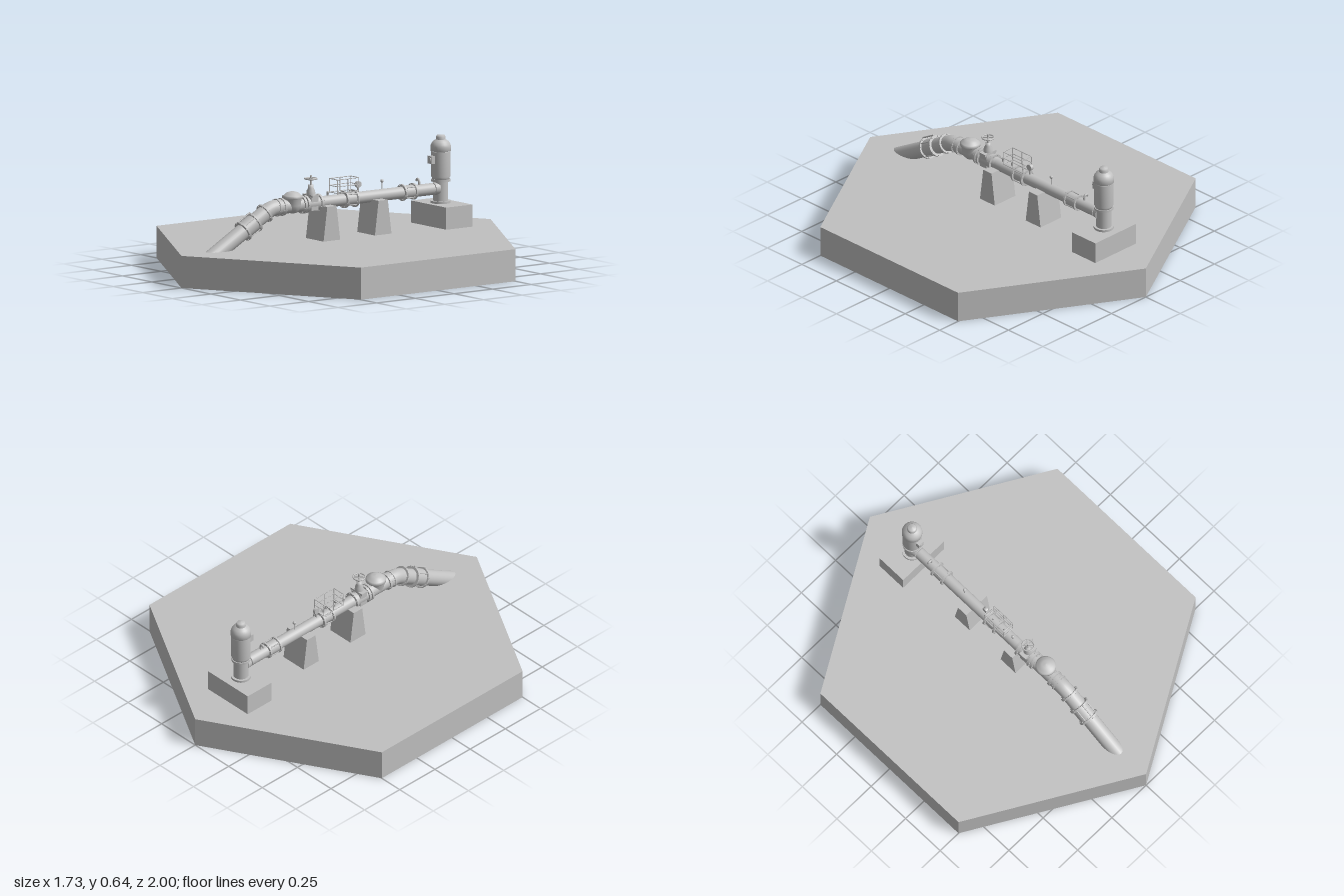
import * as THREE from 'three';

export function createModel() {
  const model = new THREE.Group();
  const concrete = new THREE.MeshStandardMaterial({ color: 0xc0c0c0 });
  concrete.name = 'light grey';
  const PX = -0.01, PY = 0.358; // pipe axis
  const V = (x, y, z) => new THREE.Vector3(x, y, z);

  function add(name, geo, x = 0, y = 0, z = 0, parent = model) {
    const m = new THREE.Mesh(geo, concrete);
    m.name = name;
    m.position.set(x, y, z);
    parent.add(m);
    return m;
  }
  const box = (name, w, h, d, x, y, z, p) => add(name, new THREE.BoxGeometry(w, h, d), x, y, z, p);
  const disc = (name, r, h, x, y, z, p) => add(name, new THREE.CylinderGeometry(r, r, h, 24), x, y, z, p);
  // Round bar between two points, r0 at a and r1 at b
  function rod(name, a, b, r0, r1 = r0, seg = 24, parent = model) {
    const d = b.clone().sub(a);
    const m = add(name, new THREE.CylinderGeometry(r1, r0, d.length(), seg), 0, 0, 0, parent);
    m.position.copy(a).add(b).multiplyScalar(0.5);
    m.quaternion.setFromUnitVectors(V(0, 1, 0), d.normalize());
    return m;
  }
  const lathe = (name, pts, x, y, z, p) =>
    add(name, new THREE.LatheGeometry(pts.map(q => new THREE.Vector2(q[0], q[1])), 28), x, y, z, p);
  const at = z => V(PX, PY, z);
  // Bolted flange with its axis along dir
  function flange(c, dir, r, t = 0.012) {
    const g = new THREE.Group();
    g.name = 'flange';
    disc('flangePlate', r, t, 0, 0, 0, g);
    for (let i = 0; i < 8; i++) {
      const a = (i + 0.5) * Math.PI / 4;
      add('bolt', new THREE.CylinderGeometry(0.003, 0.003, t + 0.008, 6),
        Math.cos(a) * (r - 0.005), 0, Math.sin(a) * (r - 0.005), g);
    }
    g.position.copy(c);
    g.quaternion.setFromUnitVectors(V(0, 1, 0), dir);
    model.add(g);
  }
  // Two flanges tied together by long bolts
  function coupling(a, b, r, core) {
    const d = b.clone().sub(a).normalize();
    flange(a, d, r, 0.01);
    flange(b, d, r, 0.01);
    rod('couplingSleeve', a, b, core);
    const up = V(0, 1, 0).addScaledVector(d, -d.y).normalize();
    const side = V(1, 0, 0);
    for (let i = 0; i < 4; i++) {
      const t = (i + 0.5) * Math.PI / 2;
      const o = up.clone().multiplyScalar(Math.cos(t) * (r - 0.005)).addScaledVector(side, Math.sin(t) * (r - 0.005));
      rod('tieBolt', a.clone().add(o), b.clone().add(o), 0.003, 0.003, 6);
    }
  }

  // Hexagonal ground slab with corners on the z axis
  add('groundSlab', new THREE.CylinderGeometry(1, 1, 0.167, 6).toNonIndexed(), 0, 0.0835, 0)
    .geometry.computeVertexNormals();

  // Pump plinth and tapered pipe supports
  box('pumpPlinth', 0.297, 0.115, 0.17, -0.007, 0.2245, -0.69);
  for (const z of [0.08, -0.252]) {
    const s = new THREE.Shape([[-0.054, 0.165], [0.054, 0.165], [0.03, 0.345], [-0.03, 0.345]]
      .map(p => new THREE.Vector2(p[0], p[1])));
    const g = new THREE.ExtrudeGeometry(s, { depth: 0.15, bevelEnabled: false });
    g.translate(0, 0, -0.075);
    add('pipeSupport', g, -0.005, 0, z).rotation.y = Math.PI / 2;
  }

  // Vertical pump
  const PZ = -0.685;
  disc('pumpBaseFlange', 0.052, 0.012, PX, 0.288, PZ);
  disc('pumpColumn', 0.039, 0.13, PX, 0.345, PZ);
  disc('pumpFlange', 0.05, 0.012, PX, 0.4, PZ);
  lathe('motor', [[0, 0.4], [0.045, 0.4], [0.045, 0.412], [0.05, 0.42], [0.05, 0.548], [0.046, 0.55]], PX, 0, PZ);
  lathe('motorCap', [[0.045, 0.55], [0.053, 0.553], [0.053, 0.575], [0.05, 0.588], [0.041, 0.602], [0.026, 0.612],
    [0.025, 0.612], [0.025, 0.625], [0.02, 0.634], [0, 0.637]], PX, 0, PZ);
  box('terminalBox', 0.032, 0.04, 0.03, PX - 0.003, 0.51, PZ + 0.055);
  rod('terminalGland', V(PX - 0.003, 0.51, PZ + 0.06), V(PX - 0.003, 0.51, PZ + 0.074), 0.013);

  // Horizontal discharge pipe
  rod('dischargePipe', at(-0.63), at(0.1), 0.031);
  rod('pumpOutlet', at(-0.66), at(-0.635), 0.036, 0.031);
  coupling(at(-0.505), at(-0.435), 0.043, 0.035);
  coupling(at(-0.125), at(-0.058), 0.045, 0.034);
  rod('reducer', at(0.085), at(0.13), 0.031, 0.036);
  flange(at(0.108), V(0, 0, 1), 0.046);

  // Gate valve with handwheel
  const GZ = 0.155;
  box('gateValveBody', 0.07, 0.07, 0.045, PX, 0.36, GZ);
  rod('gateValveBore', at(0.115), at(0.205), 0.037);
  flange(at(0.195), V(0, 0, 1), 0.047);
  box('gateValveBonnet', 0.085, 0.012, 0.042, PX, 0.4, GZ);
  lathe('gateValveNeck', [[0.024, 0.4], [0.022, 0.425], [0.014, 0.44], [0.014, 0.455], [0, 0.456]], PX, 0, GZ);
  rod('valveStem', V(PX, 0.44, GZ), V(PX, 0.505, GZ), 0.005, 0.005, 10);
  add('handwheel', new THREE.TorusGeometry(0.031, 0.004, 8, 24), PX, 0.487, GZ).rotation.x = Math.PI / 2;
  for (let i = 0; i < 2; i++) {
    const s = box('handwheelSpoke', 0.06, 0.005, 0.005, PX, 0.487, GZ);
    s.rotation.y = Math.PI / 4 + i * Math.PI / 2;
  }

  // Check valve with bowl body and round cover
  rod('checkValveBore', at(0.2), at(0.36), 0.037);
  flange(at(0.215), V(0, 0, 1), 0.046);
  flange(at(0.345), V(0, 0, 1), 0.046);
  lathe('checkValveBody', [[0, 0.318], [0.02, 0.322], [0.036, 0.338], [0.044, 0.362], [0.046, 0.395], [0.053, 0.397],
    [0.053, 0.411], [0.046, 0.413], [0.036, 0.424], [0.02, 0.431], [0, 0.433]], -0.005, 0, 0.278);

  // Elbow and sloping pipe running into the slab
  const dir = V(0, -0.5, Math.sqrt(3) / 2);
  const slope = t => at(0.415).addScaledVector(dir, t);
  const bend = new THREE.CatmullRomCurve3([at(0.35), at(0.375), at(0.412).add(V(0, -0.004, 0)), slope(0.04), slope(0.065)]);
  add('elbow', new THREE.TubeGeometry(bend, 16, 0.041, 24));
  rod('slopingPipe', slope(0.05), slope(0.47), 0.042);
  flange(at(0.378), V(0, 0, 1), 0.046, 0.008);
  flange(slope(0.045), dir, 0.052, 0.01);
  coupling(slope(0.125), slope(0.205), 0.056, 0.046);
  rod('couplingBar', slope(0.12).add(V(0, 0.05, 0.03)), slope(0.21).add(V(0, 0.05, 0.03)), 0.004, 0.004, 8);

  // Open railing cage above the pipe
  const cage = new THREE.Group();
  cage.name = 'railingCage';
  model.add(cage);
  const x0 = -0.043, x1 = 0.025, z0 = -0.128, z1 = 0.01;
  for (const y of [0.4, 0.435, 0.47]) {
    for (const x of [x0, x1]) rod('rail', V(x, y, z0), V(x, y, z1), 0.0022, 0.0022, 6, cage);
    for (const z of [z0, z1]) rod('rail', V(x0, y, z), V(x1, y, z), 0.0022, 0.0022, 6, cage);
  }
  for (const x of [x0, x1]) for (const z of [z0, (z0 + z1) / 2, z1])
    rod('railPost', V(x, 0.4, z), V(x, 0.47, z), 0.0022, 0.0022, 6, cage);
  for (const z of [z0 + 0.03, z1 - 0.03]) rod('cageBracket', V(PX, 0.37, z), V(PX, 0.405, z), 0.005, 0.005, 8, cage);

  // Gauges, air vent and tapping
  rod('gaugeStem', V(PX, 0.38, -0.15), V(PX, 0.425, -0.15), 0.005, 0.005, 8);
  rod('gaugeDial', V(PX - 0.008, 0.428, -0.15), V(PX + 0.008, 0.428, -0.15), 0.017);
  rod('sensorStem', V(PX, 0.38, -0.305), V(PX, 0.43, -0.305), 0.0025, 0.0025, 8);
  add('sensorHead', new THREE.SphereGeometry(0.009, 12, 8), PX, 0.431, -0.305);
  rod('tapping', V(PX, 0.38, 0.045), V(PX, 0.41, 0.045), 0.006, 0.006, 10);
  add('tappingCap', new THREE.SphereGeometry(0.008, 12, 8), PX, 0.405, 0.045);
  const hook = new THREE.CatmullRomCurve3([V(PX, 0.38, -0.545), V(PX, 0.405, -0.545), V(PX - 0.006, 0.416, -0.545),
    V(PX - 0.018, 0.416, -0.545), V(PX - 0.022, 0.406, -0.545)]);
  add('airVent', new THREE.TubeGeometry(hook, 16, 0.006, 10));

  return model;
}
